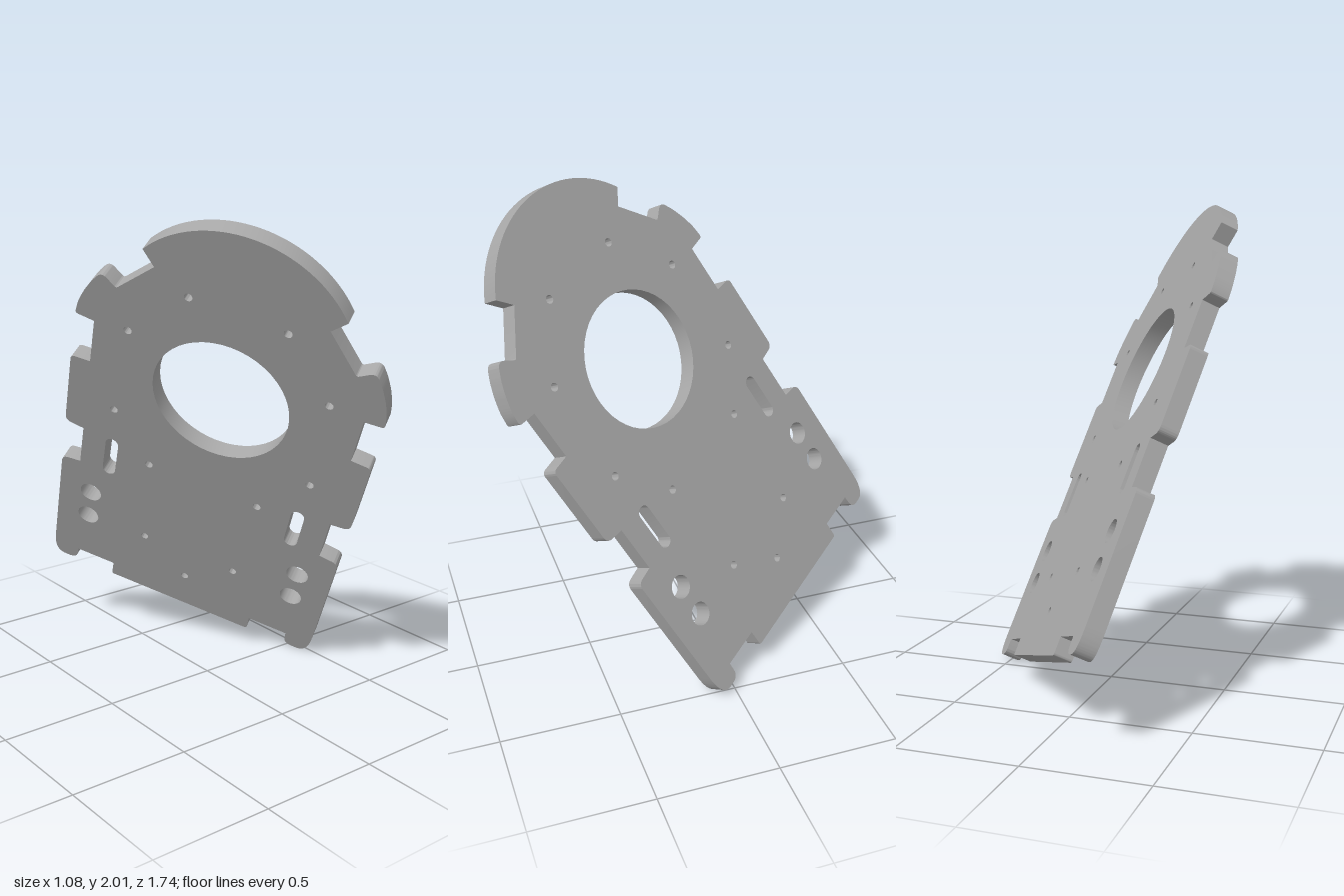
import * as THREE from 'three';
import { toCreasedNormals } from 'three/addons/utils/BufferGeometryUtils.js';

// Closed outline through [x, y, cornerRadius] points
function roundedOutline(points) {
  const shape = new THREE.Shape();
  const n = points.length;
  const vec = (i) => new THREE.Vector2(points[(i + n) % n][0], points[(i + n) % n][1]);
  for (let i = 0; i < n; i++) {
    const r = points[i][2] || 0;
    const p = vec(i);
    const toward = (q) => q.clone().sub(p).setLength(Math.min(r, q.distanceTo(p) * 0.49)).add(p);
    const a = r ? toward(vec(i - 1)) : p;
    if (i === 0) shape.moveTo(a.x, a.y);
    else shape.lineTo(a.x, a.y);
    if (r) {
      const b = toward(vec(i + 1));
      shape.quadraticCurveTo(p.x, p.y, b.x, b.y);
    }
  }
  shape.closePath();
  return shape;
}

function roundHole(x, y, r) {
  const path = new THREE.Path();
  path.absarc(x, y, r, 0, Math.PI * 2, true);
  return path;
}

function slotHole(x, yLow, yHigh, r) {
  const path = new THREE.Path();
  path.absarc(x, yHigh, r, 0, Math.PI, false);
  path.absarc(x, yLow, r, Math.PI, Math.PI * 2, false);
  path.closePath();
  return path;
}

export function createModel() {
  const model = new THREE.Group();
  const grey = new THREE.MeshStandardMaterial({ color: 0xa6a6a6 });
  grey.name = 'plate grey';

  // One half of the edge, from the bottom tab up to the head
  const half = [
    [0.34, -1.3, 0.01], [0.34, -1.225], [0.52, -1.225], [0.525, -1.295, 0.04],
    [0.64, -1.295, 0.11], [0.64, -0.645, 0.03], [0.555, -0.635], [0.555, -0.43],
    [0.64, -0.42, 0.03], [0.64, -0.05, 0.02], [0.555, -0.045], [0.555, 0.168],
    [0.637, 0.175, 0.015], [0.628, 0.24, 0.02], [0.608, 0.3, 0.02], [0.582, 0.355, 0.02],
    [0.545, 0.412, 0.03], [0.48, 0.365, 0.01], [0.343, 0.522],
  ];
  // Round head
  const head = [];
  const start = 0.62, steps = 32;
  for (let i = 0; i <= steps; i++) {
    const a = start + (Math.PI - 2 * start) * i / steps;
    head.push([0.487 * Math.cos(a), 0.3 + 0.487 * Math.sin(a), 0]);
  }
  const mirrored = half.map(([x, y, r]) => [-x, y, r]).reverse();
  const outline = roundedOutline([...half, ...head, ...mirrored]);

  // Main opening, bolt holes and slots
  outline.holes.push(roundHole(0, 0, 0.285), roundHole(0.004, -1.11, 0.017));
  const pairs = [
    [0.197, 0.443, 0.017], [0.414, 0.183, 0.017], [0.43, -0.256, 0.017],
    [0.245, -0.493, 0.017], [0.213, -0.95, 0.017],
    [0.49, -0.806, 0.049], [0.49, -0.96, 0.049],
  ];
  for (const side of [-1, 1]) {
    for (const [x, y, r] of pairs) outline.holes.push(roundHole(side * x, y, r));
    outline.holes.push(slotHole(side * 0.42, -0.613, -0.46, 0.029));
  }

  const geometry = new THREE.ExtrudeGeometry(outline, { depth: 0.076, bevelEnabled: false, curveSegments: 24 });
  const plate = new THREE.Mesh(toCreasedNormals(geometry, 0.5), grey);
  plate.name = 'mountingPlate';

  // Tilt the flat plate into its pose
  const across = new THREE.Vector3(0.575, -0.3, 0.76).normalize();
  const normal = across.clone().cross(new THREE.Vector3(-0.195, 0.85, 0.49)).normalize();
  const up = normal.clone().cross(across);
  plate.quaternion.setFromRotationMatrix(new THREE.Matrix4().makeBasis(across, up, normal));
  plate.position.set(-0.068, 1.307, 0.213);
  model.add(plate);
  return model;
}
